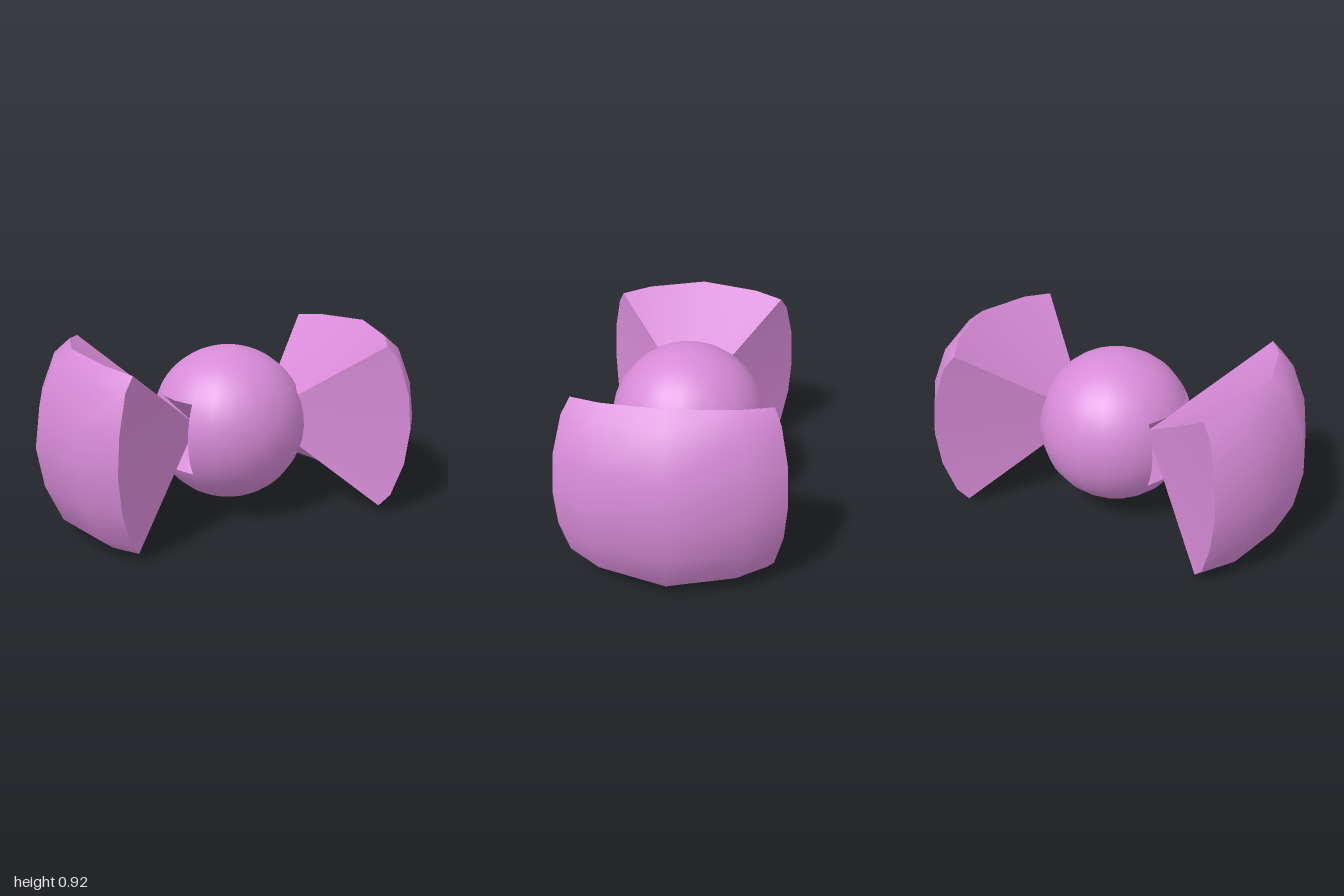
import * as THREE from 'three';

const RAD = Math.PI / 180;
const R = 0.395, CENTRE_Y = 0.467;
const HOLE_PHI = 36 * RAD, HOLE_LAT = 27 * RAD;
const APEX = [0.18, 0, 0];

const material = new THREE.MeshStandardMaterial({ color: 0xd68ad6 });

function build(points, index) {
  const g = new THREE.BufferGeometry();
  g.setAttribute('position', new THREE.Float32BufferAttribute(points.flat(), 3));
  g.setIndex(index);
  g.computeVertexNormals();
  return g;
}

function add(parent, name, geometry) {
  const mesh = new THREE.Mesh(geometry, material);
  mesh.name = name;
  parent.add(mesh);
}

// Outer wing patch: u runs -2..2 across z, v runs -3..3 up y
function wingPoint(u, v) {
  const a = Math.abs(u), b = Math.abs(v);
  const x = [1, 0.9, 0.765][a] * [1, 0.97, 0.89, 0.8][b] * (1 + 0.07 * (a / 2) ** 2 * (b / 3) ** 2);
  const y = Math.sign(v) * [0, 0.2, 0.39, 0.46][b] * [1, 0.96, 0.92][a];
  const z = Math.sign(u) * [0, 0.355, 0.525][a] * [1, 0.98, 0.91, 0.847][b];
  return [x, y, z];
}

// Same grid laid on the ball, marking the edge of its side socket
function socketPoint(u, v) {
  const phi = u / 2 * HOLE_PHI, lat = v / 3 * HOLE_LAT;
  return [R * Math.cos(lat) * Math.cos(phi), R * Math.sin(lat), R * Math.cos(lat) * Math.sin(phi)];
}

function capGeometry() {
  const points = [], index = [];
  for (let v = -3; v <= 3; v++) for (let u = -2; u <= 2; u++) points.push(wingPoint(u, v));
  for (let j = 0; j < 6; j++) for (let i = 0; i < 4; i++) {
    const a = j * 5 + i, b = a + 1, c = a + 5, d = a + 6;
    index.push(a, c, b, b, c, d);
  }
  return build(points, index);
}

// Four borders of the grid, anticlockwise seen from outside
function borders(fn) {
  const us = [2, 1, 0, -1, -2], vs = [-3, -2, -1, 0, 1, 2, 3];
  return [
    us.map(u => fn(u, -3)),
    vs.map(v => fn(-2, v)),
    us.map(u => fn(-u, 3)),
    vs.map(v => fn(2, -v)),
  ];
}

// Fan from a border to the inner apex
function fanGeometry(edge, outward) {
  const index = [];
  for (let i = 1; i < edge.length; i++) index.push(0, ...(outward ? [i + 1, i] : [i, i + 1]));
  return build([APEX, ...edge], index);
}

export function createModel() {
  const model = new THREE.Group();
  model.name = 'wrappedSweet';

  // Ball with a square opening on each side
  const ball = new THREE.Group();
  ball.name = 'ball';
  ball.position.y = CENTRE_Y;
  const top = Math.PI / 2 - HOLE_LAT;
  add(ball, 'ballTop', new THREE.SphereGeometry(R, 20, 14, 0, Math.PI * 2, 0, top));
  add(ball, 'ballBottom', new THREE.SphereGeometry(R, 20, 14, 0, Math.PI * 2, Math.PI - top, top));
  for (const [name, start] of [['ballFront', 0], ['ballBack', Math.PI]]) {
    add(ball, name, new THREE.SphereGeometry(R, 6, 6, start + HOLE_PHI, Math.PI - 2 * HOLE_PHI, top, 2 * HOLE_LAT));
  }
  model.add(ball);

  // Flared wings and the sockets they grow from
  for (const side of ['left', 'right']) {
    const wing = new THREE.Group();
    wing.name = side + 'Wing';
    wing.position.y = CENTRE_Y;
    if (side === 'right') wing.rotation.y = Math.PI;
    add(wing, 'wingCap', capGeometry());
    for (const edge of borders(wingPoint)) add(wing, 'wingWall', fanGeometry(edge, true));
    for (const edge of borders(socketPoint)) add(wing, 'socketWall', fanGeometry(edge, false));
    model.add(wing);
  }
  return model;
}
